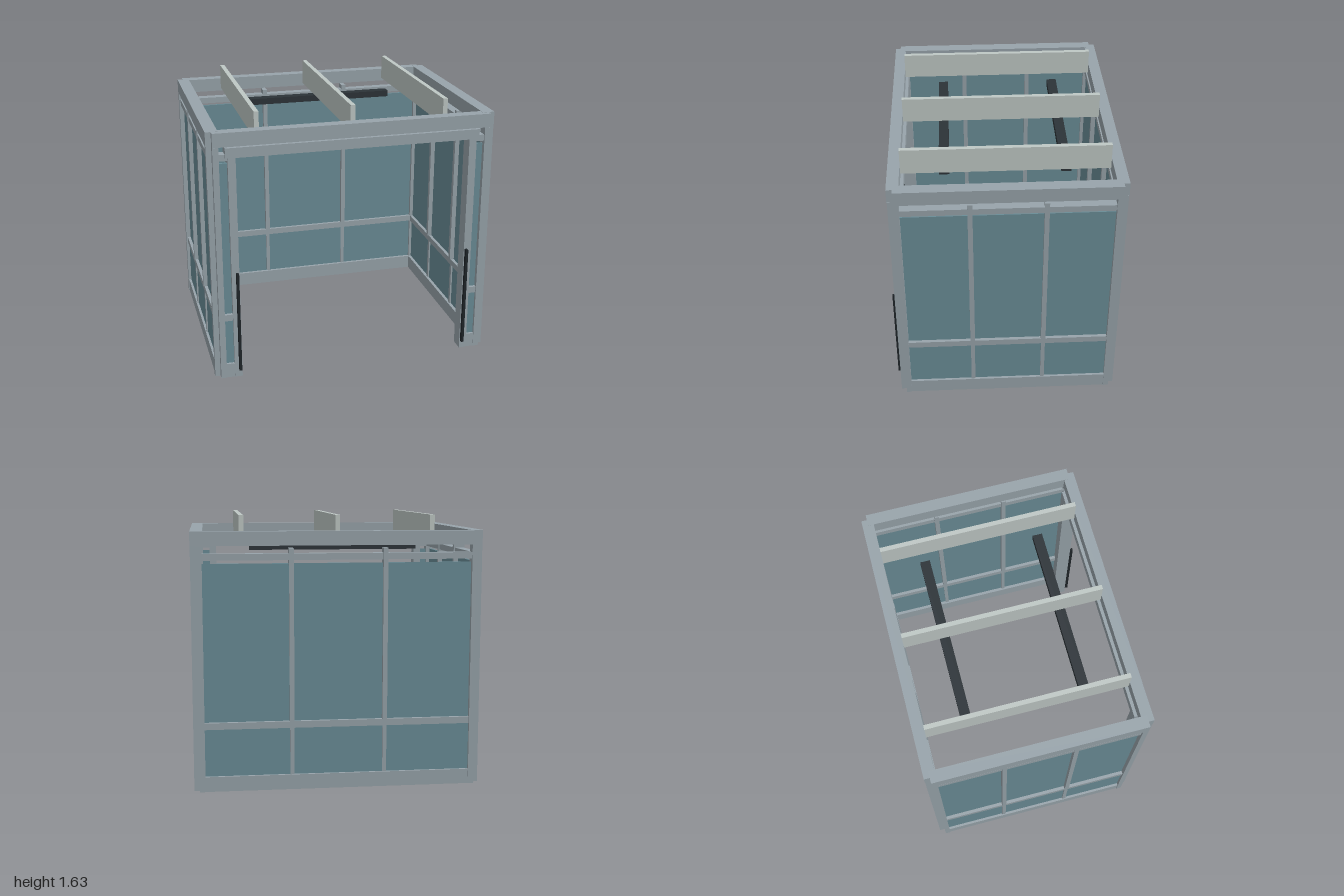
import * as THREE from 'three';

const paint = (name, color) => {
  const m = new THREE.MeshStandardMaterial({ color });
  m.name = name;
  return m;
};
const frame = paint('grey aluminium', 0x98a4ab);
const pale = paint('pale rafter grey', 0xbfc8c5);
const glass = paint('blue glass', 0x6a8d97);
const dark = paint('charcoal', 0x2c3338);
const black = paint('handle black', 0x1f2529);

// Box given by its minimum and maximum on each axis
function box(parent, name, mat, [x0, x1], [y0, y1], [z0, z1]) {
  const mesh = new THREE.Mesh(new THREE.BoxGeometry(x1 - x0, y1 - y0, z1 - z0), mat);
  mesh.position.set((x0 + x1) / 2, (y0 + y1) / 2, (z0 + z1) / 2);
  mesh.name = name;
  parent.add(mesh);
  return mesh;
}

// Range mirrored to the side s
const side = (s, a, b) => (s > 0 ? [a, b] : [-b, -a]);

// Glazed wall from x0 to x1, outer face at z = 0, looking along +z
function wall(name, x0, x1, mullions) {
  const g = new THREE.Group();
  g.name = name;
  const span = [x0, x1];
  box(g, 'baseRail', frame, span, [0, 0.09], [-0.065, 0]);
  box(g, 'lowerGlass', glass, span, [0.09, 0.375], [-0.045, -0.015]);
  box(g, 'middleRail', frame, span, [0.375, 0.415], [-0.06, -0.005]);
  box(g, 'upperGlass', glass, span, [0.415, 1.352], [-0.04, -0.025]);
  box(g, 'topRail', frame, span, [1.372, 1.41], [-0.06, -0.005]);
  for (const x of mullions) {
    box(g, 'lowerMullion', frame, [x - 0.012, x + 0.012], [0.09, 0.375], [-0.055, -0.006]);
    box(g, 'upperMullion', frame, [x - 0.014, x + 0.014], [0.415, 1.44], [-0.068, 0]);
  }
  return g;
}

export function createModel() {
  const model = new THREE.Group();
  model.name = 'glassPavilion';
  const body = new THREE.Group();
  body.name = 'pavilionBody';
  body.rotation.y = -Math.PI / 12;
  model.add(body);

  // Side and back walls
  for (const s of [1, -1]) {
    const w = wall(s > 0 ? 'leftWall' : 'rightWall', -0.61, 0.61, [-0.215, 0.215]);
    w.rotation.y = s * Math.PI / 2;
    w.position.x = s * 0.858;
    body.add(w);
  }
  const back = wall('backWall', -0.8, 0.8, [-0.278, 0.278]);
  back.rotation.y = Math.PI;
  back.position.z = -0.667;
  body.add(back);

  for (const s of [1, -1]) {
    // Narrow front panels beside the opening
    const [a, b] = side(s, 0.745, 0.8);
    const panel = wall('frontPanel', a, b, []);
    panel.position.z = 0.667;
    body.add(panel);

    // Door jambs and pull handles
    box(body, 'doorJamb', frame, side(s, 0.7, 0.746), [0, 1.39], [0.585, 0.67]);
    box(body, 'doorHandle', black, side(s, 0.705, 0.721), [0.05, 0.685], [0.67, 0.692]);

    // Notched corner posts
    for (const t of [1, -1]) {
      box(body, 'cornerPost', frame, side(s, 0.795, 0.862), [0, 1.455], side(t, 0.605, 0.637));
      box(body, 'cornerPostFin', frame, side(s, 0.795, 0.83), [0, 1.455], side(t, 0.637, 0.67));
    }

    // Roof ring
    box(body, 'sideBeam', frame, side(s, 0.79, 0.863), [1.455, 1.54], [-0.638, 0.638]);
    box(body, 'crossBeam', frame, [-0.83, 0.83], [1.456, 1.539], side(s, 0.603, 0.672));

    // Hanging heater bars
    box(body, 'heaterBar', dark, [-0.51, 0.51], [1.415, 1.455], side(s, 0.325, 0.385));
  }

  // Header over the opening
  box(body, 'doorHeader', frame, [-0.76, 0.76], [1.39, 1.45], [0.585, 0.675]);

  // Rafters
  for (const x of [-0.565, 0, 0.565]) {
    box(body, 'rafter', pale, [x - 0.014, x + 0.014], [1.475, 1.63], [-0.603, 0.603]);
  }
  return model;
}
